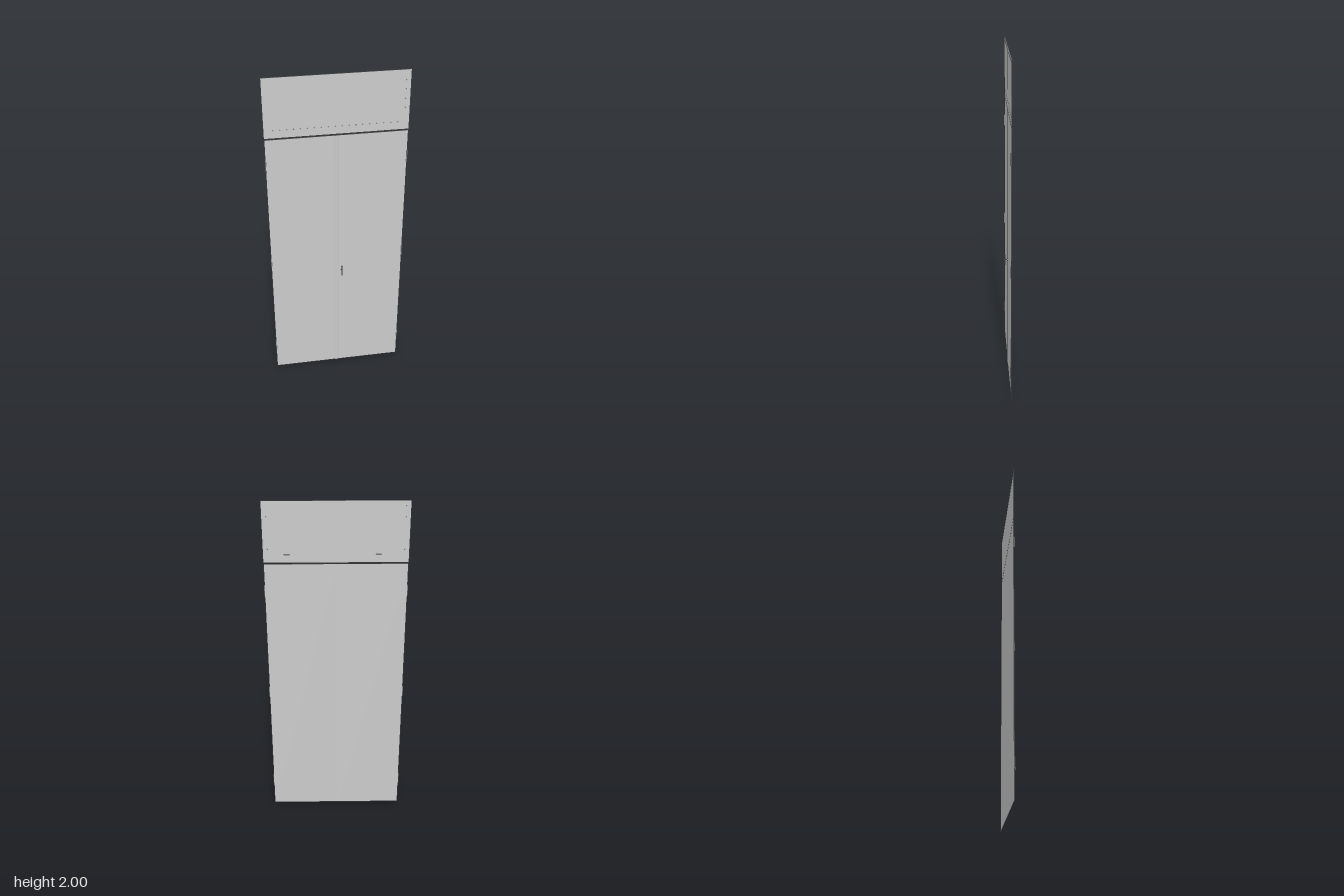
import * as THREE from 'three';

const material = new THREE.MeshStandardMaterial({ color: 0xcccccc });

// Depth of the door sheets
const BACK = -0.0115, FRONT = -0.0088;
const THICK = FRONT - BACK, MID = (FRONT + BACK) / 2;

function add(parent, name, geometry, x, y, z) {
  const mesh = new THREE.Mesh(geometry, material);
  mesh.name = name;
  mesh.position.set(x, y, z);
  parent.add(mesh);
  return mesh;
}

// Box given by its left/right, bottom/top and back/front limits
function slab(parent, name, x0, x1, y0, y1, z0 = BACK, z1 = FRONT) {
  return add(parent, name, new THREE.BoxGeometry(x1 - x0, y1 - y0, z1 - z0),
    (x0 + x1) / 2, (y0 + y1) / 2, (z0 + z1) / 2);
}

function rect(path, x0, x1, y0, y1) {
  path.moveTo(x0, y0);
  path.lineTo(x1, y0);
  path.lineTo(x1, y1);
  path.lineTo(x0, y1);
  path.closePath();
  return path;
}

export function createModel() {
  const model = new THREE.Group();
  model.name = 'doubleDoor';

  // Two door leaves with a narrow joint
  slab(model, 'rightLeaf', -0.398, -0.008, 0, 1.647);
  slab(model, 'leftLeaf', -0.005, 0.398, 0, 1.647);

  // Cover strip over the joint, with bevelled sides
  const strip = new THREE.Shape();
  strip.moveTo(-0.016, 0);
  strip.lineTo(0.009, 0);
  strip.lineTo(0.003, 0.0035);
  strip.lineTo(-0.01, 0.0035);
  strip.closePath();
  const stripGeometry = new THREE.ExtrudeGeometry(strip, { depth: 1.645, bevelEnabled: false });
  stripGeometry.rotateX(-Math.PI / 2).scale(1, 1, -1);
  // The mirror flips the corners, so swap them back
  const order = stripGeometry.attributes.position;
  for (let i = 0; i < order.count; i += 3) {
    const a = new THREE.Vector3().fromBufferAttribute(order, i + 1);
    const b = new THREE.Vector3().fromBufferAttribute(order, i + 2);
    order.setXYZ(i + 1, b.x, b.y, b.z);
    order.setXYZ(i + 2, a.x, a.y, a.z);
  }
  stripGeometry.computeVertexNormals();
  add(model, 'coverStrip', stripGeometry, 0, 0, FRONT);

  // Transom frame with two openings
  const frame = rect(new THREE.Shape(), -0.4, 0.4, 1.652, 2);
  for (const [x0, x1] of [[-0.373, -0.001], [0.001, 0.373]]) {
    frame.holes.push(rect(new THREE.Path(), x0, x1, 1.7, 1.976));
    slab(model, 'transomPane', x0, x1, 1.7, 1.976, BACK + 0.0005, FRONT - 0.0005);
  }
  add(model, 'transomFrame',
    new THREE.ExtrudeGeometry(frame, { depth: THICK, bevelEnabled: false }), 0, 0, BACK);

  // Hinges on both outer edges
  for (const side of [-1, 1]) {
    for (const y of [0.185, 0.835, 1.485]) {
      add(model, 'hinge', new THREE.CylinderGeometry(0.0035, 0.0035, 0.07, 16), side * 0.3985, y, -0.008);
    }
  }

  // Door handle: rose, neck, upright grip and the spindle end at the back
  const handle = new THREE.Group();
  handle.name = 'handle';
  handle.position.set(0.027, 0.738, 0);
  model.add(handle);
  const disc = (name, radius, z0, z1) =>
    add(handle, name, new THREE.CylinderGeometry(radius, radius, z1 - z0, 20), 0, 0, (z0 + z1) / 2)
      .rotation.x = Math.PI / 2;
  disc('rose', 0.007, FRONT, FRONT + 0.0015);
  disc('neck', 0.003, MID, 0.007);
  disc('spindleEnd', 0.003, BACK - 0.0005, MID);
  add(handle, 'grip', new THREE.CapsuleGeometry(0.0035, 0.063, 6, 14), 0, 0, 0.008);

  return model;
}
